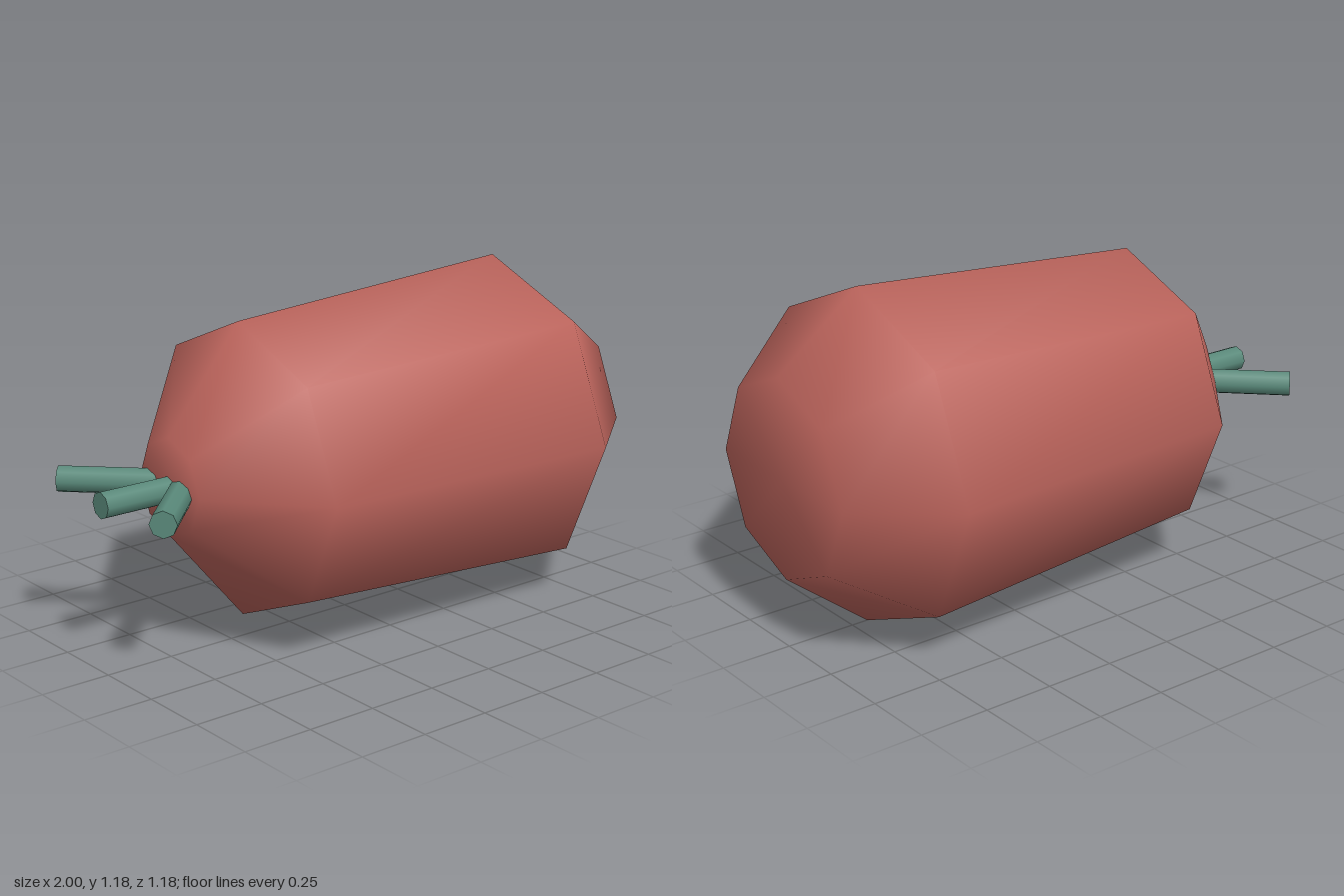
import * as THREE from 'three';

const CENTRE_Y = 0.595;

export function createModel() {
  const group = new THREE.Group();
  const red = new THREE.MeshStandardMaterial({ color: 0xba635b });
  red.name = 'dull red';
  const green = new THREE.MeshStandardMaterial({ color: 0x5a8a7b });
  green.name = 'grey green';

  // Eight-sided body, turned around the x axis (radius, position along x)
  const profile = [
    [0, -0.74], [0.17, -0.74], [0.515, -0.45],
    [0.592, 0.69], [0.35, 1], [0, 1],
  ].map(([r, x]) => new THREE.Vector2(r, x));
  const body = new THREE.Mesh(new THREE.LatheGeometry(profile, 8), red);
  body.name = 'body';
  body.rotation.z = -Math.PI / 2;
  body.position.y = CENTRE_Y;
  group.add(body);

  // Three stalks fanning out of the narrow end: tip x, tip z, angle, length
  const stalks = [
    ['middleStalk', -1, -0.01, 0, 0.32],
    ['backStalk', -0.952, -0.34, -Math.PI / 4, 0.36],
    ['frontStalk', -0.952, 0.273, Math.PI / 4, 0.36],
  ];
  for (const [name, x, z, angle, length] of stalks) {
    const geometry = new THREE.CylinderGeometry(0.046, 0.046, length, 8);
    geometry.rotateZ(Math.PI / 2);
    geometry.translate(length / 2, 0, 0);
    const stalk = new THREE.Mesh(geometry, green);
    stalk.name = name;
    stalk.position.set(x, 0.585, z);
    stalk.rotation.y = angle;
    group.add(stalk);
  }
  return group;
}
